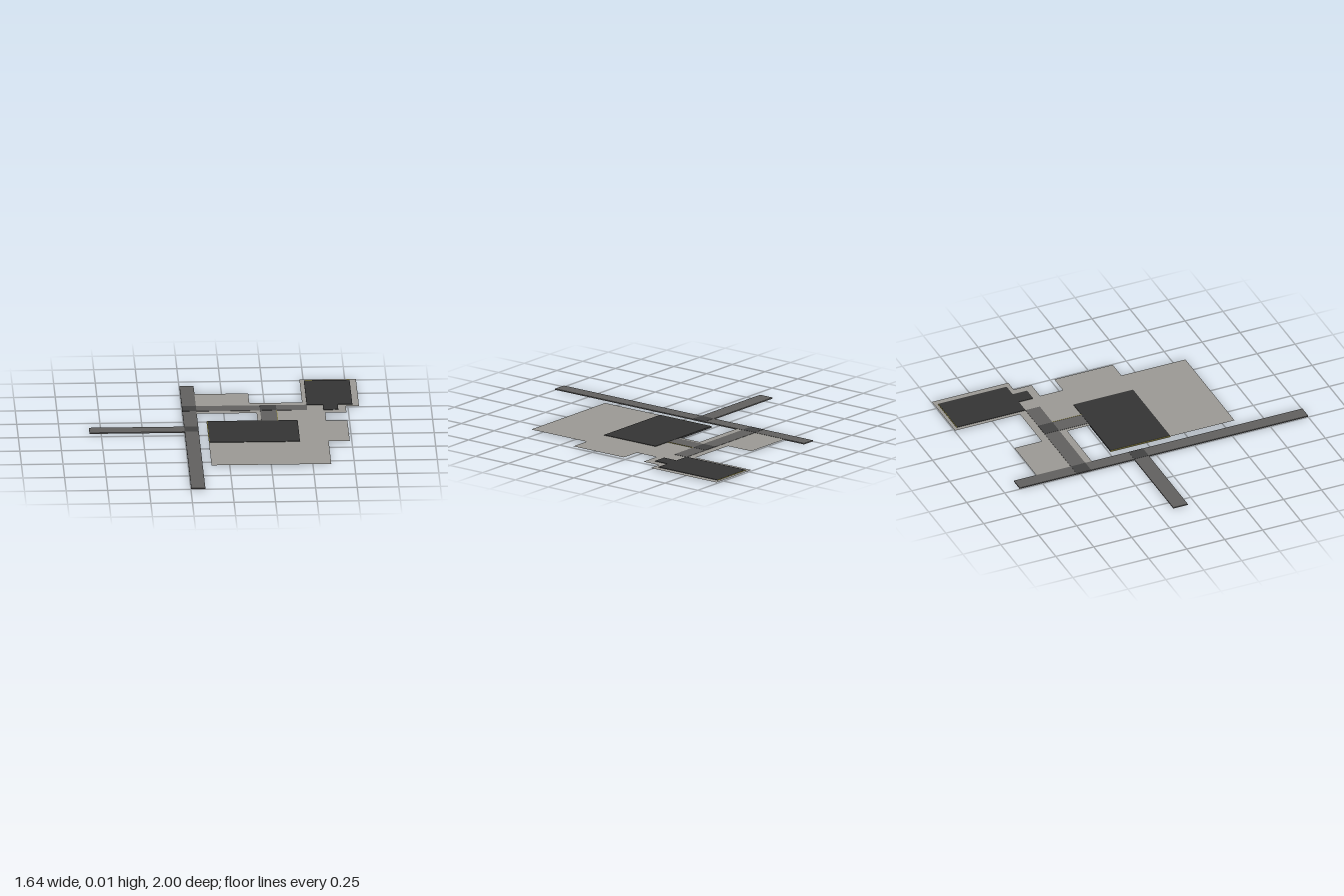
import * as THREE from 'three';

const material = (name, color) => {
  const m = new THREE.MeshStandardMaterial({ color });
  m.name = name;
  return m;
};

export function createModel() {
  const group = new THREE.Group();
  group.name = 'sitePlan';

  const paving = material('paving grey', 0x9a9893);
  paving.side = THREE.DoubleSide;
  const asphalt = material('road grey', 0x605f5e);
  const crossing = material('crossing grey', 0x414141);
  const dark = material('dark slab', 0x343434);
  const yellow = material('edge yellow', 0x8a8030);

  // Thin plate from x0..x1, z0..z1, centred in height on the paving sheet
  const MID = 0.005;
  const plate = (name, mat, x0, x1, z0, z1, thickness) => {
    const mesh = new THREE.Mesh(new THREE.BoxGeometry(x1 - x0, thickness, z1 - z0), mat);
    mesh.position.set((x0 + x1) / 2, MID, (z0 + z1) / 2);
    mesh.name = name;
    group.add(mesh);
  };

  // Stepped paving sheet, outline in x, z
  const outline = [
    [-0.11, 0.577], [0.61, 0.577], [0.61, 0.155], [0.737, 0.155], [0.737, -0.23],
    [0.61, -0.23], [0.61, -0.38], [0.737, -0.38], [0.737, -0.497], [0.817, -0.497],
    [0.817, -1], [0.477, -1], [0.477, -0.572], [0.16, -0.572], [0.16, -0.752],
    [-0.163, -0.752], [-0.163, -0.386], [0.197, -0.386], [0.197, -0.238], [-0.11, -0.238],
  ];
  const shape = new THREE.Shape(outline.map(([x, z]) => new THREE.Vector2(x, -z)));
  const sheet = new THREE.Mesh(new THREE.ShapeGeometry(shape).rotateX(-Math.PI / 2), paving);
  sheet.position.y = MID + 0.002;
  sheet.name = 'paving';
  group.add(sheet);

  // Roads
  plate('mainRoad', asphalt, -0.248, -0.163, -0.9, 1, 0.007);
  plate('sideRoad', asphalt, -0.82, -0.248, -0.145, -0.05, 0.007);
  plate('crossRoad', asphalt, -0.163, 0.503, -0.525, -0.43, 0.007);
  plate('connector', asphalt, 0.22, 0.318, -0.43, -0.238, 0.007);

  // Darker patches where roads overlap
  plate('sideJunction', crossing, -0.248, -0.163, -0.145, -0.05, 0.0085);
  plate('crossJunction', crossing, -0.248, -0.163, -0.525, -0.43, 0.0085);
  plate('connectorJunction', crossing, 0.22, 0.318, -0.525, -0.43, 0.0085);

  // Dark slabs
  plate('centralSlab', dark, -0.105, 0.438, -0.238, 0.155, 0.01);
  plate('cornerSlab', dark, 0.503, 0.778, -0.975, -0.525, 0.01);
  plate('cornerDrive', dark, 0.6, 0.69, -0.525, -0.43, 0.01);

  // Fine edge lines
  plate('centralSlabEdge', yellow, -0.108, -0.105, -0.238, 0.155, 0.009);
  plate('cornerSlabEdge', yellow, 0.503, 0.778, -0.978, -0.975, 0.009);
  plate('connectorEdge', yellow, 0.318, 0.321, -0.43, -0.238, 0.009);

  return group;
}
